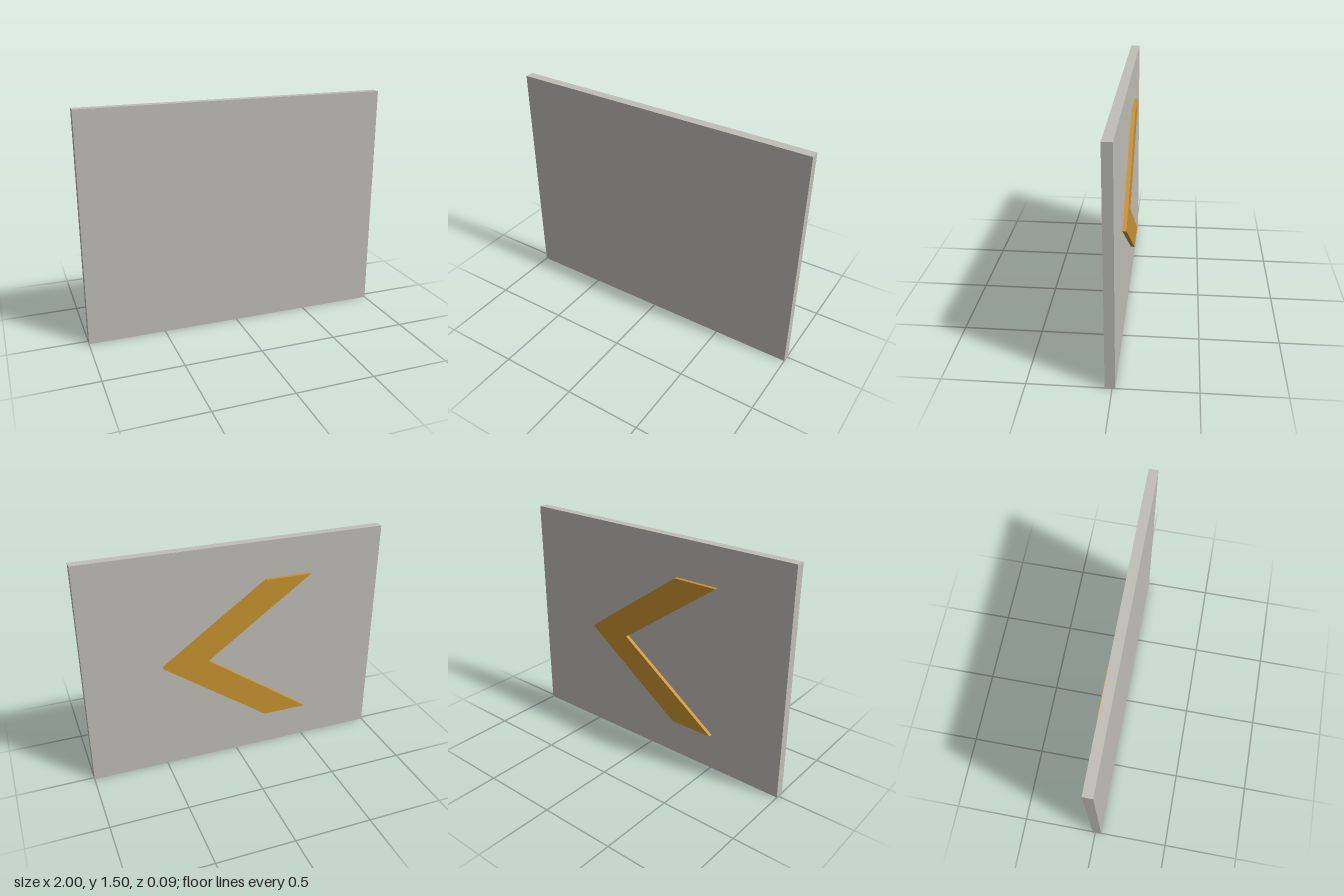
import * as THREE from 'three';

export function createModel() {
  const group = new THREE.Group();
  const panelGrey = new THREE.MeshStandardMaterial({ color: 0xbfbeb6 });
  panelGrey.name = 'panel grey';
  const arrowGold = new THREE.MeshStandardMaterial({ color: 0xc8922f });
  arrowGold.name = 'arrow gold';

  // Flat upright board
  const panel = new THREE.Mesh(new THREE.BoxGeometry(2, 1.5, 0.06), panelGrey);
  panel.name = 'panel';
  panel.position.set(0, 0.75, 0.0125);
  group.add(panel);

  // Raised chevron on the back, pointing to +x
  const outline = [[-0.5, -0.5], [-0.2, -0.5], [0.5, 0], [-0.2, 0.5], [-0.5, 0.5], [0.2, 0]];
  const shape = new THREE.Shape(outline.map(([x, y]) => new THREE.Vector2(x, y)));
  const chevron = new THREE.Mesh(
    new THREE.ExtrudeGeometry(shape, { depth: 0.025, bevelEnabled: false }), arrowGold);
  chevron.name = 'chevron';
  chevron.position.set(0, 0.75, -0.0425);
  group.add(chevron);

  return group;
}
